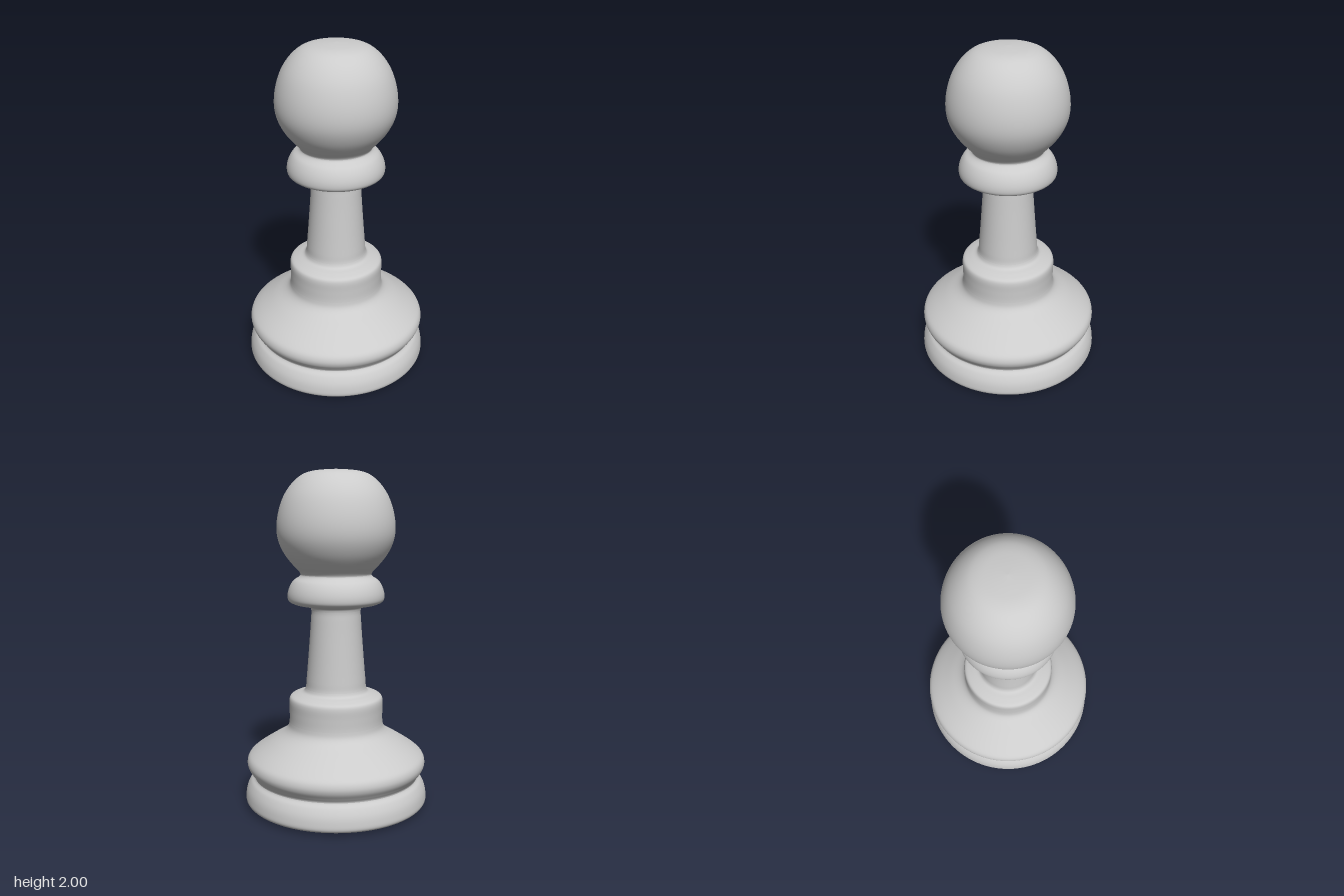
import * as THREE from 'three';

// Turned profile from foot to crown, [radius, height], one list per part.
// Each part begins where the previous one ends.
const parts = {
  foot: [[0, 0], [0.25, 0.002], [0.48, 0.01], [0.535, 0.018], [0.55, 0.035], [0.55, 0.07],
    [0.541, 0.11], [0.52, 0.15], [0.497, 0.175]],
  body: [[0.51, 0.2], [0.533, 0.235], [0.54, 0.265], [0.531, 0.297], [0.5, 0.327], [0.4, 0.393],
    [0.315, 0.445], [0.29, 0.475], [0.282, 0.51]],
  shoulder: [[0.281, 0.58], [0.281, 0.645], [0.272, 0.664], [0.235, 0.68], [0.195, 0.694], [0.183, 0.715]],
  stem: [[0.177, 0.77], [0.162, 0.95], [0.149, 1.13], [0.147, 1.185]],
  collar: [[0.155, 1.205], [0.2, 1.214], [0.255, 1.226], [0.281, 1.244], [0.286, 1.275], [0.275, 1.32],
    [0.25, 1.36], [0.217, 1.383], [0.209, 1.396]],
  head: [[0.217, 1.413], [0.25, 1.448], [0.302, 1.515], [0.336, 1.59], [0.346, 1.66], [0.336, 1.75],
    [0.304, 1.845], [0.255, 1.918], [0.2, 1.965], [0.15, 1.985], [0.08, 1.995], [0, 2]],
};

const STEPS = 5; // curve samples between profile points

export function createModel() {
  const group = new THREE.Group();
  const material = new THREE.MeshStandardMaterial({ color: 0xcccccc });

  // One continuous curve keeps the shading smooth from part to part
  const all = Object.values(parts).flat().map(([r, y]) => new THREE.Vector3(r, y, 0));
  const curve = new THREE.CatmullRomCurve3(all, false, 'centripetal');
  const sample = (index) => {
    const p = curve.getPoint(index / (all.length - 1));
    return new THREE.Vector2(Math.max(p.x, 0), Math.max(p.y, 0));
  };

  let start = 0;
  let count = 0;
  for (const [name, points] of Object.entries(parts)) {
    count += points.length;
    const end = count - 1;
    const profile = [];
    for (let i = start * STEPS; i <= end * STEPS; i++) profile.push(sample(i / STEPS));
    const mesh = new THREE.Mesh(new THREE.LatheGeometry(profile, 96), material);
    mesh.name = name;
    group.add(mesh);
    start = end;
  }
  return group;
}
